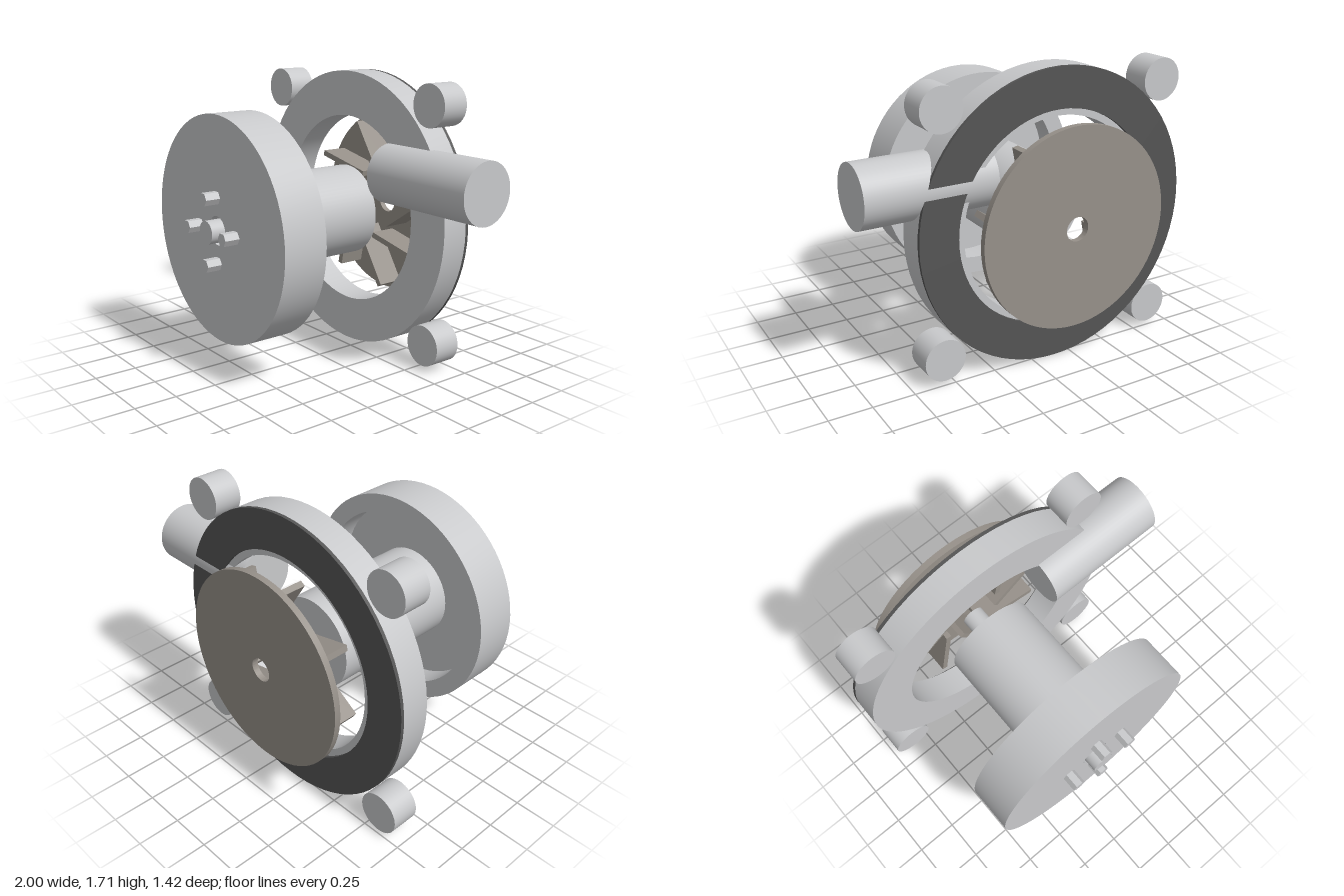
import * as THREE from 'three';
import { toCreasedNormals } from 'three/addons/utils/BufferGeometryUtils.js';

const CX = -0.145, CY = 0.86; // main pump axis, running along z

export function createModel() {
  const steel = new THREE.MeshStandardMaterial({ color: 0xc8c9cb });
  steel.name = 'light steel';
  const bronze = new THREE.MeshStandardMaterial({ color: 0x97918a });
  bronze.name = 'warm grey metal';
  const rubber = new THREE.MeshStandardMaterial({ color: 0x555555 });
  rubber.name = 'dark rubber';

  const model = new THREE.Group();
  model.name = 'pump';
  const axis = new THREE.Group();
  axis.name = 'axialParts';
  axis.position.set(CX, CY, 0);
  model.add(axis);

  function add(parent, name, geometry, material) {
    const mesh = new THREE.Mesh(geometry, material);
    mesh.name = name;
    parent.add(mesh);
    return mesh;
  }
  // Solid of revolution about z from [radius, z] pairs, counter-clockwise
  function turned(profile) {
    const points = profile.map(([r, z]) => new THREE.Vector2(r, z));
    const g = new THREE.LatheGeometry(points, 72);
    g.rotateX(Math.PI / 2);
    return toCreasedNormals(g, 0.5);
  }
  const ring = (outer, inner, z0, z1) =>
    turned([[inner, z0], [outer, z0], [outer, z1], [inner, z1], [inner, z0]]);
  function rod(r, z0, z1, sides = 40) {
    const g = new THREE.CylinderGeometry(r, r, z1 - z0, sides);
    g.rotateX(Math.PI / 2);
    g.translate(0, 0, (z0 + z1) / 2);
    return g;
  }

  // Front flange with a rear recess, a bearing barrel and a shaft bore
  add(axis, 'bearingHousing', turned([
    [0, -0.33], [0.276, -0.33], [0.276, 0.5], [0.555, 0.5], [0.555, 0.35],
    [0.663, 0.35], [0.663, 0.62], [0.085, 0.62], [0.085, 0.4], [0, 0.4],
  ]), steel);
  add(axis, 'shaft', rod(0.068, -0.5, 0.695), steel);

  // Four hexagonal studs around the shaft
  for (let i = 0; i < 4; i++) {
    const a = i * Math.PI / 2;
    const g = rod(0.04, 0.6, 0.71, 6).toNonIndexed();
    g.rotateZ(Math.PI / 2);
    g.computeVertexNormals();
    add(axis, 'hexStud', g, steel).position.set(0.193 * Math.cos(a), 0.193 * Math.sin(a), 0);
  }

  // Rear casing ring with its gasket and four mounting posts
  add(axis, 'casingRing', ring(0.857, 0.585, -0.5, -0.33), steel);
  add(axis, 'gasket', ring(0.857, 0.625, -0.52, -0.5), rubber);
  for (const sx of [-1, 1]) {
    for (const sy of [-1, 1]) {
      add(axis, 'mountingPost', rod(0.124, -0.5, -0.33), steel).position.set(sx * 0.705, sy * 0.705, 0);
    }
  }

  // Outlet pipe pointing to the side
  const pipe = new THREE.CylinderGeometry(0.179, 0.179, 0.765, 48);
  pipe.rotateZ(Math.PI / 2);
  add(model, 'outletPipe', pipe, steel).position.set(0.6175, 1.14, -0.344);

  // Impeller: back plate with a centre hole and eight swept vanes
  const impeller = new THREE.Group();
  impeller.name = 'impeller';
  axis.add(impeller);
  add(impeller, 'impellerPlate', ring(0.58, 0.07, -0.707, -0.67), bronze);
  const sweep = 0.34, reach = 0.53;
  const outer = reach * Math.cos(sweep), offset = reach * Math.sin(sweep), inner = 0.09;
  for (let i = 0; i < 8; i++) {
    const vane = new THREE.BoxGeometry(outer - inner, 0.035, 0.172);
    vane.translate((outer + inner) / 2, -offset, -0.586);
    add(impeller, 'vane', vane, bronze).rotation.z = 0.24 + sweep + i * Math.PI / 4;
  }
  return model;
}
